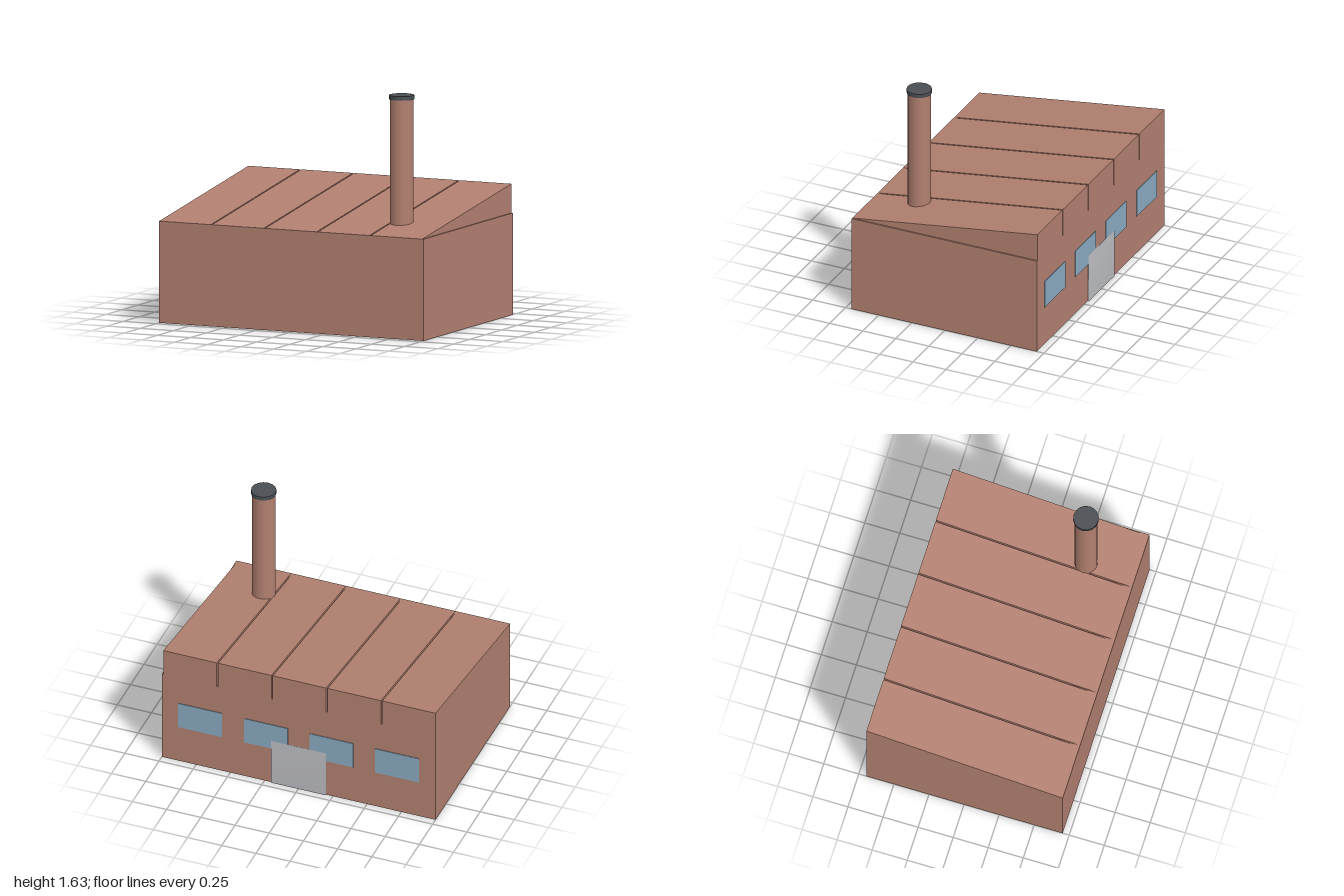
import * as THREE from 'three';
import { mergeVertices } from 'three/addons/utils/BufferGeometryUtils.js';

const FRONT = 0.704, BACK = -0.696;

function material(name, color) {
  const m = new THREE.MeshStandardMaterial({ color });
  m.name = name;
  return m;
}

export function createModel() {
  const brick = material('brick', 0xb28070);
  const iron = material('dark iron', 0x4b5054);
  const glass = material('window glass', 0x8aaac0);
  const steel = material('door steel', 0xbcbdc2);

  const model = new THREE.Group();
  model.name = 'factory';

  const add = (name, geometry, mat, x, y, z) => {
    const mesh = new THREE.Mesh(geometry, mat);
    mesh.name = name;
    mesh.position.set(x, y, z);
    model.add(mesh);
    return mesh;
  };

  // Main hall
  add('hall', new THREE.BoxGeometry(2, 0.7, FRONT - BACK), brick, 0, 0.35, (FRONT + BACK) / 2);

  // Five sloping roof wedges with narrow gaps; profile drawn in (-z, y), extruded along x
  const profile = new THREE.Shape();
  profile.moveTo(-FRONT, 0);
  profile.lineTo(-BACK, 0);
  profile.lineTo(-BACK, 0.2);
  profile.closePath();
  const wedge = new THREE.ExtrudeGeometry(profile, { depth: 0.39, bevelEnabled: false });
  wedge.rotateY(Math.PI / 2);
  for (let i = 0; i < 5; i++) add('roofWedge' + (i + 1), wedge, brick, -1 + 0.4 * i, 0.7, 0);

  // Chimney and its cap
  add('chimney', new THREE.CylinderGeometry(0.08, 0.08, 0.9, 16), brick, 0.665, 1.15, 0.354);
  add('chimneyCap', new THREE.CylinderGeometry(0.087, 0.087, 0.028, 16), iron, 0.665, 1.613, 0.354);

  // Back windows
  const pane = new THREE.BoxGeometry(0.32, 0.2, 0.008);
  for (let i = 0; i < 4; i++) add('window' + (i + 1), pane, glass, -0.72 + 0.48 * i, 0.385, BACK);

  // Back door, softly shaded with shared corner normals
  let panel = new THREE.BoxGeometry(0.4, 0.35, 0.009);
  panel.deleteAttribute('normal');
  panel.deleteAttribute('uv');
  panel = mergeVertices(panel);
  panel.computeVertexNormals();
  add('door', panel, steel, 0, 0.175, BACK - 0.0035);

  return model;
}
